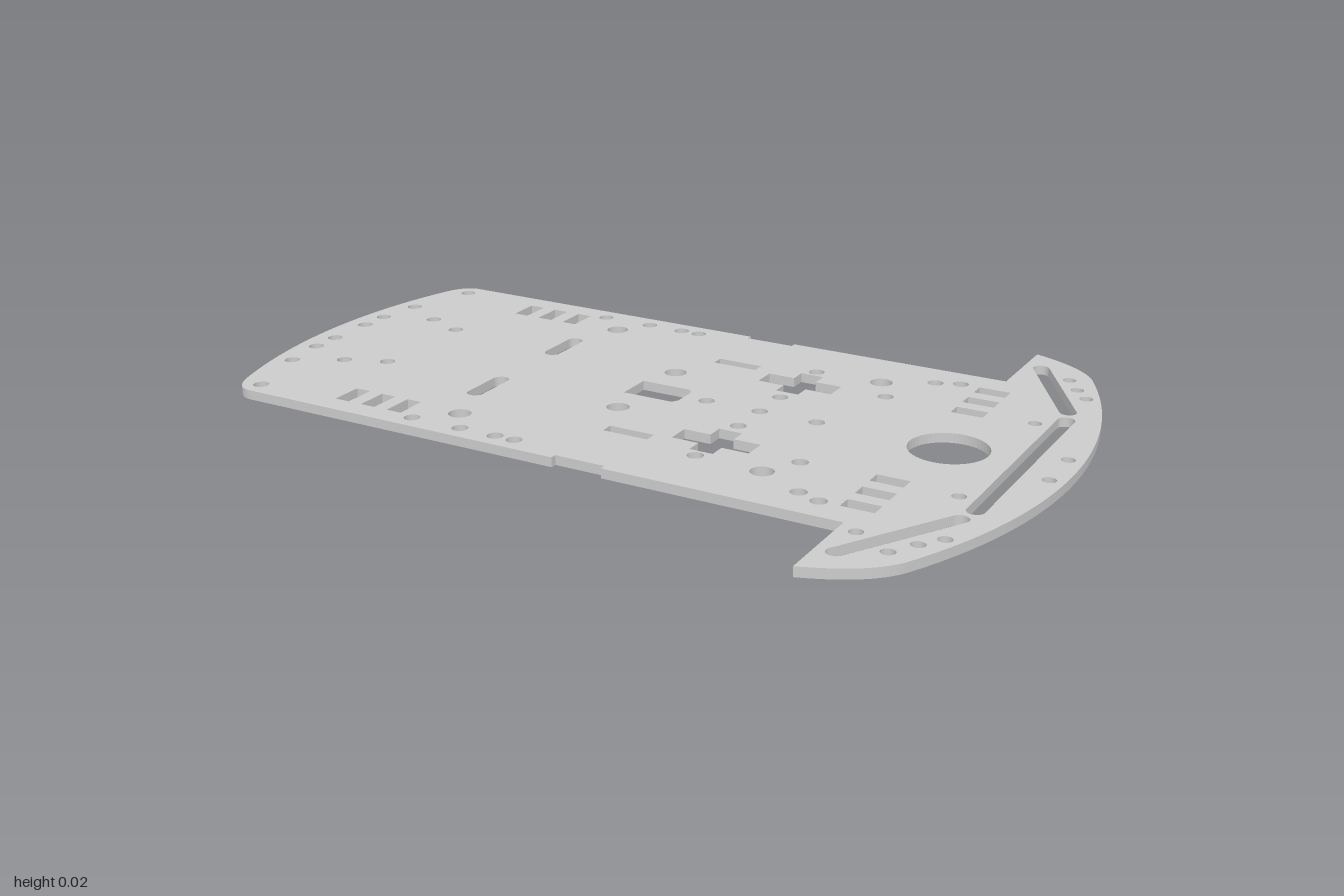
import * as THREE from 'three';

const THICKNESS = 0.023;

// Polygon hole from corner points
const poly = (pts) => new THREE.Path(pts.map(([x, y]) => new THREE.Vector2(x, y)));

const circle = (x, y, r) => new THREE.Path().absarc(x, y, r, 0, Math.PI * 2, false);

const rect = (x, y, w, h) => poly([
  [x - w / 2, y - h / 2], [x + w / 2, y - h / 2], [x + w / 2, y + h / 2], [x - w / 2, y + h / 2],
]);

// Round-ended slot between two centre points
function slot(x1, y1, x2, y2, r) {
  const a = Math.atan2(y2 - y1, x2 - x1);
  const p = new THREE.Path();
  p.absarc(x2, y2, r, a - Math.PI / 2, a + Math.PI / 2, false);
  p.absarc(x1, y1, r, a + Math.PI / 2, a + Math.PI * 1.5, false);
  p.closePath();
  return p;
}

// Plus-shaped cut-out: a = long half-width, b = half-height, t = half-thickness of the bars
const cross = (x, y, a, b, t) => poly([
  [-a, -t], [-t, -t], [-t, -b], [t, -b], [t, -t], [a, -t],
  [a, t], [t, t], [t, b], [-t, b], [-t, t], [-a, t],
].map(([u, v]) => [x + u, y + v]));

// Plate outline, anticlockwise from the lower rear corner
function outline() {
  const s = new THREE.Shape();
  const noseR = 1.25, noseA = Math.asin(0.573 / noseR);
  const tailR = 1.325, tailA = Math.asin(0.41 / tailR);
  s.moveTo(-0.868, -0.474);
  // lower side with notch and bumper wing
  s.lineTo(-0.015, -0.474);
  s.lineTo(-0.015, -0.459);
  s.lineTo(0.11, -0.459);
  s.lineTo(0.11, -0.474);
  s.lineTo(0.676, -0.474);
  s.lineTo(0.676, -0.704);
  s.quadraticCurveTo(0.82, -0.657, 0.861, -0.573);
  // bumper arc
  s.absarc(1 - noseR, 0, noseR, -noseA, noseA, false);
  // upper wing and side
  s.quadraticCurveTo(0.82, 0.657, 0.676, 0.704);
  s.lineTo(0.676, 0.474);
  s.lineTo(0.11, 0.474);
  s.lineTo(0.11, 0.459);
  s.lineTo(-0.015, 0.459);
  s.lineTo(-0.015, 0.474);
  s.lineTo(-0.868, 0.474);
  // rounded tail
  s.quadraticCurveTo(-0.914, 0.474, -0.935, 0.41);
  s.absarc(tailR - 1, 0, tailR, Math.PI - tailA, Math.PI + tailA, false);
  s.quadraticCurveTo(-0.914, -0.474, -0.868, -0.474);
  return s;
}

// Screw holes repeated on both halves, grouped by radius
const SCREW_HOLES = [
  [0.019, [
    [-0.874, 0.428], [-0.927, 0.252], [-0.944, 0.139], [-0.946, 0.062], [-0.815, 0.187],
    [-0.713, 0.145], [-0.424, 0.428], [-0.29, 0.428], [-0.194, 0.428], [-0.143, 0.428],
    [0.25, 0.31], [0.25, 0.107], [0.465, 0.233], [0.532, 0.38], [0.588, 0.402],
  ]],
  [0.027, [[-0.344, 0.353], [-0.049, 0.137], [0.417, 0.319]]],
  [0.016, [[0.829, 0.238], [0.963, 0.064], [0.807, 0.557], [0.845, 0.498], [0.882, 0.45]]],
];

export function createModel() {
  const group = new THREE.Group();
  group.name = 'chassis';
  const shape = outline();
  const cut = (...paths) => shape.holes.push(...paths);

  // Mirrored cut-outs
  for (const m of [1, -1]) {
    for (const [r, list] of SCREW_HOLES) for (const [x, y] of list) cut(circle(x, m * y, r));
    for (const x of [-0.636, -0.561, -0.486]) cut(rect(x, m * 0.377, 0.039, 0.08));
    for (const y of [0.383, 0.308, 0.233]) cut(rect(0.674, m * y, 0.077, 0.039));
    cut(
      rect(0.055, m * 0.265, 0.114, 0.032),
      slot(-0.393, m * 0.116, -0.393, m * 0.221, 0.02),
      slot(0.719, m * 0.607, 0.872, m * 0.344, 0.02),
      cross(0.25, m * 0.214, 0.096, 0.07, 0.029),
    );
  }

  // Cut-outs on the centre line, plus one extra hole on the front wing
  for (const x of [0.111, 0.25, 0.395]) cut(circle(x, 0, 0.019));
  cut(
    circle(0.714, 0, 0.092),
    slot(0.885, -0.291, 0.885, 0.291, 0.02),
    circle(0.716, -0.503, 0.016),
    poly([[-0.087, -0.046], [0.042, -0.046], [0.052, -0.03], [0.052, 0.03], [0.042, 0.046], [-0.087, 0.046]]),
  );

  const geometry = new THREE.ExtrudeGeometry(shape, {
    depth: THICKNESS, bevelEnabled: false, curveSegments: 24,
  });
  geometry.rotateX(-Math.PI / 2);
  const plate = new THREE.Mesh(geometry, new THREE.MeshStandardMaterial({ color: 0xcccccc }));
  plate.name = 'basePlate';
  group.add(plate);
  return group;
}
